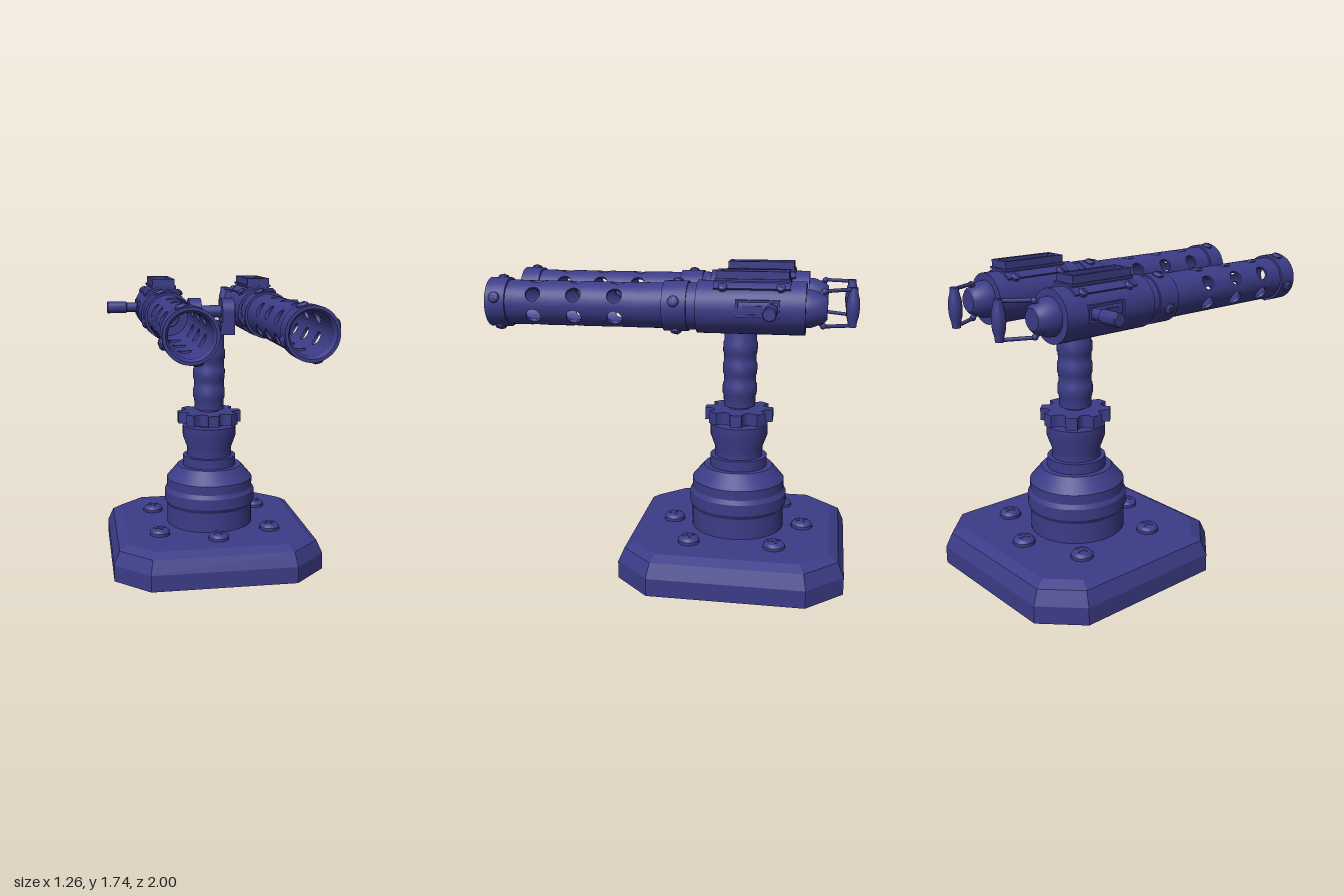
import * as THREE from 'three';
import { toCreasedNormals, mergeGeometries } from 'three/addons/utils/BufferGeometryUtils.js';

const mat = new THREE.MeshStandardMaterial({ color: 0x3c3c88 });
const flatMat = new THREE.MeshStandardMaterial({ color: 0x3c3c88, flatShading: true });
const V = (x, y, z) => new THREE.Vector3(x, y, z);
const AXIS_Z = -0.35, GUN_X = 0.285, GUN_Y = 1.54;

function add(parent, name, geo, x = 0, y = 0, z = 0, material = mat) {
  const m = new THREE.Mesh(geo, material);
  m.name = name;
  m.position.set(x, y, z);
  parent.add(m);
  return m;
}
const lathe = (pts, seg = 40) =>
  toCreasedNormals(new THREE.LatheGeometry(pts.map(p => new THREE.Vector2(p[0], p[1])), seg), 0.5);
const latheZ = (pts, seg) => lathe(pts, seg).rotateX(Math.PI / 2);
const extrude = (shape, depth) =>
  toCreasedNormals(new THREE.ExtrudeGeometry(shape, { depth, bevelEnabled: false, curveSegments: 16 }), 0.5);
function rod(parent, name, a, b, r) {
  const m = add(parent, name, new THREE.CylinderGeometry(r, r, a.distanceTo(b), 16));
  m.position.copy(a).lerp(b, 0.5);
  m.quaternion.setFromUnitVectors(V(0, 1, 0), b.clone().sub(a).normalize());
  return m;
}

// Surface from rows of points
function grid(rows, flip) {
  const pos = rows.flat().flatMap(p => [p.x, p.y, p.z]), idx = [], n = rows[0].length;
  for (let i = 0; i < rows.length - 1; i++) for (let j = 0; j < n - 1; j++) {
    const a = i * n + j, b = a + 1, c = a + n, d = c + 1;
    idx.push(...(flip ? [a, c, b, b, c, d] : [a, b, c, b, d, c]));
  }
  const g = new THREE.BufferGeometry();
  g.setAttribute('position', new THREE.Float32BufferAttribute(pos, 3));
  g.setIndex(idx);
  g.computeVertexNormals();
  return g;
}

// Screw with domed head and slots, pointing up +y
function screw(parent, name, r, h, slots) {
  const g = new THREE.Group();
  g.name = name;
  add(g, 'screwHead', lathe([[r, -0.01], [r, h * 0.4], [r * 0.8, h * 0.8], [r * 0.5, h], [0, h]], 20));
  for (let i = 0; i < slots; i++)
    add(g, 'screwSlot', new THREE.BoxGeometry(r * 1.1, 0.004, r * 0.2), 0, h, 0).rotation.y = i * Math.PI / 2 + 0.4;
  parent.add(g);
  return g;
}
// Screw standing on a cylinder around the z axis
function radialScrew(parent, angle, radius, z, r, h) {
  const s = screw(parent, 'ringScrew', r, h, 1);
  s.position.set(Math.cos(angle) * radius, Math.sin(angle) * radius, z);
  s.rotation.z = angle - Math.PI / 2;
}

// One 60 degree tile of the barrel jacket with a round hole
function jacketTile(angle, zc, R, r) {
  const N = 32, hr = 0.041, halfA = Math.PI / 6, halfZ = 0.1125;
  const at = (i, t, rad) => {
    const side = Math.floor(i / 8) % 4, k = (i % 8) / 4 - 1;
    const [sx, sz] = [[1, k], [-k, 1], [-1, -k], [k, -1]][side];
    const c = (i / N) * Math.PI * 2 - Math.PI / 4;
    const u = THREE.MathUtils.lerp(Math.cos(c) * hr / R, sx * halfA, t);
    const v = THREE.MathUtils.lerp(Math.sin(c) * hr, sz * halfZ, t);
    return V(Math.cos(angle + u) * rad, Math.sin(angle + u) * rad, zc + v);
  };
  const ring = (t, rad) => Array.from({ length: N + 1 }, (_, i) => at(i, t, rad));
  const face = rad => [0, 0.33, 0.66, 1].map(t => ring(t, rad));
  return [grid(face(R), true), grid(face(r), false), grid([ring(0, R), ring(0, r)], false)];
}

function buildGun(side) {
  const g = new THREE.Group();
  g.name = side > 0 ? 'leftGun' : 'rightGun';
  g.position.set(side * GUN_X, GUN_Y, 0);

  // Receiver with tapered tail and front collar
  add(g, 'receiver', latheZ([[0, -0.83], [0.055, -0.83], [0.072, -0.815], [0.1, -0.745], [0.1, -0.72], [0.14, -0.72],
    [0.14, -0.15], [0.125, -0.15], [0.125, -0.1], [0.134, -0.1], [0.134, 0.03], [0, 0.03]]));
  add(g, 'boreRing', new THREE.TorusGeometry(0.05, 0.008, 8, 32), 0, 0, 0.03);

  // Perforated barrel jacket
  const R = 0.121, r = 0.106, tiles = [];
  for (const z of [0.285, 0.51, 0.735])
    for (let k = 0; k < 6; k++) tiles.push(...jacketTile(Math.PI / 6 + k * Math.PI / 3, z, R, r));
  add(g, 'barrelJacket', mergeGeometries(tiles));
  for (const [a, b] of [[0.03, 0.1725], [0.8475, 0.9]])
    add(g, 'jacketEnd', latheZ([[r, a], [R, a], [R, b], [r, b], [r, a]], 48));
  add(g, 'muzzleRing', latheZ([[r, 0.89], [0.134, 0.89], [0.134, 1], [0.118, 1], [r, 0.98], [r, 0.89]], 48));
  for (const z of [0.945, -0.035])
    for (let k = 0; k < 4; k++) radialScrew(g, 0.3 + k * Math.PI / 2, 0.132, z, 0.03, 0.018);

  // Curved top cover with raised frame
  const arc = new THREE.Shape();
  arc.absarc(0, 0, 0.152, Math.PI * 0.26, Math.PI * 0.74, false);
  arc.absarc(0, 0, 0.13, Math.PI * 0.74, Math.PI * 0.26, true);
  add(g, 'coverPlate', extrude(arc, 0.4), 0, 0, -0.64);
  const frame = new THREE.Shape([[-0.065, -0.19], [0.065, -0.19], [0.065, 0.19], [-0.065, 0.19]].map(p => new THREE.Vector2(...p)));
  frame.holes.push(new THREE.Path([[-0.035, -0.165], [-0.048, 0.165], [0.048, 0.165], [0.035, -0.165]].map(p => new THREE.Vector2(...p))));
  add(g, 'coverFrame', extrude(frame, 0.075).rotateX(-Math.PI / 2), 0, 0.12, -0.44);
  add(g, 'coverFloor', new THREE.BoxGeometry(0.11, 0.05, 0.36), 0, 0.147, -0.44);
  add(g, 'coverRim', new THREE.BoxGeometry(0.15, 0.012, 0.39), 0, 0.15, -0.44);
  for (const z of [-0.59, -0.29])
    for (const a of [0.28, 0.72]) radialScrew(g, Math.PI * a, 0.15, z, 0.024, 0.014);

  // Slot frame and charging handle on the outer side
  const slot = new THREE.Shape([[-0.115, -0.045], [0.115, -0.045], [0.115, 0.045], [-0.115, 0.045]].map(p => new THREE.Vector2(...p)));
  slot.holes.push(new THREE.Path([[-0.1, -0.032], [-0.1, 0.032], [0.1, 0.032], [0.1, -0.032]].map(p => new THREE.Vector2(...p))));
  const slotMesh = add(g, 'handleSlot', extrude(slot, 0.02), side * 0.125, 0.012, -0.475);
  slotMesh.rotation.y = side * Math.PI / 2;
  add(g, 'slotBolt', new THREE.BoxGeometry(0.02, 0.03, 0.1), side * 0.134, 0.012, -0.45);
  const handle = lathe([[0, 0], [0.029, 0], [0.029, 0.1], [0.036, 0.105], [0.036, 0.216], [0.031, 0.222], [0, 0.222]], 24);
  add(g, 'chargingHandle', handle, side * 0.1, 0.01, -0.55).rotation.z = -side * Math.PI / 2;

  // Rear grip on two angled arms
  const gx = -side * 0.088, gz = -0.96;
  for (const s of [1, -1]) {
    rod(g, 'gripArm', V(0, s * 0.065, -0.785), V(-side * 0.006, s * 0.092, -0.81), 0.013);
    rod(g, 'gripArm', V(-side * 0.006, s * 0.092, -0.81), V(gx, s * 0.096, gz), 0.01);
    add(g, 'gripArmBoss', new THREE.SphereGeometry(0.017, 16, 10), -side * 0.006, s * 0.09, -0.81);
  }
  add(g, 'rearGrip', lathe([[0, -0.105], [0.022, -0.105], [0.024, -0.08], [0.033, -0.045], [0.037, 0],
    [0.033, 0.045], [0.024, 0.08], [0.022, 0.105], [0, 0.105]], 24), gx, 0, gz);
  return g;
}

export function createModel() {
  const root = new THREE.Group();
  root.name = 'twinGunMount';

  // Octagonal base with bevelled edge
  const loop = (inset, y) => {
    const a = 0.63 - inset, b = 0.43 - inset * 0.414;
    return [[a, b], [b, a], [-b, a], [-a, b], [-a, -b], [-b, -a], [b, -a], [a, -b], [a, b]].map(p => V(p[0], y, p[1]));
  };
  const centre = y => Array.from({ length: 9 }, () => V(0, y, 0));
  add(root, 'base', grid([centre(0), loop(0, 0), loop(0, 0.1), loop(0.035, 0.18), loop(0.09, 0.21), centre(0.21)], true),
    0, 0, AXIS_Z, flatMat);
  for (const [x, z] of [[0, 0.38], [0, -0.38], [0.34, 0.24], [-0.34, 0.24], [0.34, -0.24], [-0.34, -0.24]])
    screw(root, 'baseScrew', 0.062, 0.038, 2).position.set(x, 0.212, AXIS_Z + z);

  // Pedestal and post
  add(root, 'pedestal', lathe([[0.268, 0.2], [0.268, 0.33], [0.282, 0.355], [0.282, 0.42], [0.268, 0.445], [0.268, 0.5],
    [0.2, 0.58], [0.165, 0.58], [0.165, 0.64], [0.138, 0.64], [0.138, 0.69], [0.165, 0.765], [0.165, 0.83], [0.09, 0.83],
    [0.09, 0.86]], 48), 0, 0, AXIS_Z);
  const post = [[0.06, 0.9], [0.06, 0.935], [0.09, 0.935]];
  for (const y of [1.0, 1.12, 1.24]) post.push([0.092, y - 0.005], [0.098, y + 0.01], [0.098, y + 0.06], [0.092, y + 0.075]);
  post.push([0.092, 1.42], [0, 1.42]);
  add(root, 'post', lathe(post), 0, 0, AXIS_Z);

  // Star-shaped locking knob
  const star = new THREE.Shape();
  for (let i = 0; i < 8; i++) {
    const a = i * Math.PI / 4, p = (ang, r) => [Math.cos(ang) * r, Math.sin(ang) * r];
    if (i === 0) star.moveTo(...p(a - 0.16, 0.197));
    star.lineTo(...p(a + 0.16, 0.197));
    star.quadraticCurveTo(...p(a + Math.PI / 8, 0.105), ...p(a + Math.PI / 4 - 0.16, 0.197));
  }
  add(root, 'lockingKnob', extrude(star, 0.07).rotateX(-Math.PI / 2), 0, 0.85, AXIS_Z);

  // Yoke: sloped foot, two round-topped cheeks and a cross pin
  const foot = new THREE.Shape([[0.2, 1.405], [0.47, 1.405], [0.47, 1.425], [0.37, 1.48], [0.2, 1.48]].map(p => new THREE.Vector2(...p)));
  add(root, 'yokeFoot', extrude(foot, 0.27).rotateY(Math.PI / 2), -0.135, 0, 0);
  const footScrew = screw(root, 'yokeScrew', 0.03, 0.012, 1);
  footScrew.position.set(0, 1.452, -0.42);
  footScrew.rotation.x = -0.5;
  const cheek = new THREE.Shape();
  cheek.moveTo(0.2, 1.41);
  cheek.lineTo(0.36, 1.41);
  cheek.lineTo(0.36, GUN_Y);
  cheek.absarc(0.28, GUN_Y, 0.08, 0, Math.PI, false);
  for (const x of [-0.135, 0.062]) add(root, 'yokeCheek', extrude(cheek, 0.073).rotateY(Math.PI / 2), x, 0, 0);
  rod(root, 'yokePin', V(-0.2, GUN_Y, -0.28), V(0.2, GUN_Y, -0.28), 0.037);

  for (const side of [1, -1]) root.add(buildGun(side));
  return root;
}
